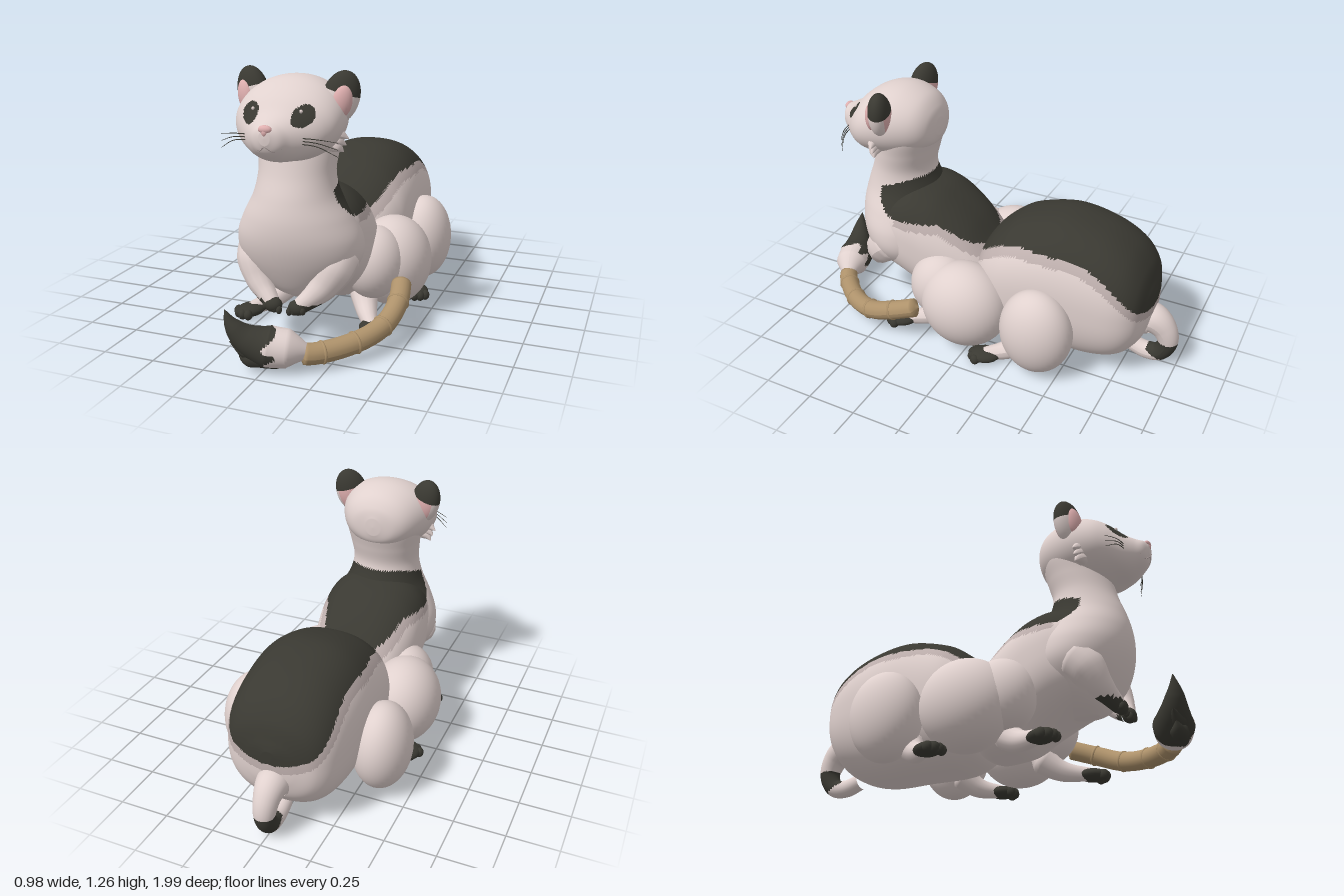
import * as THREE from 'three';

const mat = (name, color) => {
  const m = new THREE.MeshStandardMaterial({ color });
  m.name = name;
  return m;
};

export function createModel() {
  const root = new THREE.Group();
  const pale = mat('pale fur', 0xe0d1ce);
  const dark = mat('dark fur', 0x3a3932);
  const shade = mat('shaded fur', 0xc0b1af);
  const pink = mat('pink skin', 0xe0b0b0);
  const cane = mat('cane brown', 0xae926b);
  const V = (a) => new THREE.Vector3(...a);

  const add = (name, geo, material) => {
    const m = new THREE.Mesh(geo, material);
    m.name = name;
    root.add(m);
    return m;
  };

  // Sort triangles into colour groups by a rule on their centre
  const paint = (name, geo, mats, rule) => {
    const p = geo.attributes.position, src = geo.index.array;
    const lists = mats.map(() => []);
    const a = new THREE.Vector3(), c = new THREE.Vector3();
    for (let i = 0; i < src.length; i += 3) {
      c.set(0, 0, 0);
      for (let k = 0; k < 3; k++) c.add(a.fromBufferAttribute(p, src[i + k]));
      lists[rule(c.divideScalar(3))].push(src[i], src[i + 1], src[i + 2]);
    }
    geo.setIndex(lists.flat());
    geo.clearGroups();
    let start = 0;
    lists.forEach((l, i) => {
      if (l.length) geo.addGroup(start, l.length, i);
      start += l.length;
    });
    return add(name, geo, mats);
  };

  // Smooth loft of superellipse sections [axis position, high, low, half width]
  const loft = (sections, power, vertical, rings, n) => {
    const curve = new THREE.CatmullRomCurve3(sections.map((s) => V(s.slice(0, 3))), false, 'catmullrom');
    const width = new THREE.CatmullRomCurve3(sections.map((s) => V([s[3], 0, 0])), false, 'catmullrom');
    const pos = [], idx = [];
    const sp = (v) => Math.sign(v) * Math.abs(v) ** (2 / power);
    for (let i = 0; i <= rings; i++) {
      const s = curve.getPoint(i / rings);
      const end = i === 0 || i === rings ? 0.01 : 1;
      const rx = Math.max(0.001, width.getPoint(i / rings).x) * end;
      for (let j = 0; j < n; j++) {
        const t = (j / n) * Math.PI * 2;
        const x = rx * sp(Math.cos(t));
        const h = (s.y + s.z) / 2 + ((s.y - s.z) / 2) * end * sp(Math.sin(t));
        pos.push(x, vertical ? s.x : h, vertical ? h : s.x);
        if (i === rings) continue;
        const a = i * n + j, b = i * n + ((j + 1) % n), c = a + n, d = b + n;
        if (vertical) idx.push(a, c, b, b, c, d);
        else idx.push(a, b, c, b, d, c);
      }
    }
    const g = new THREE.BufferGeometry();
    g.setAttribute('position', new THREE.Float32BufferAttribute(pos, 3));
    g.setIndex(idx);
    g.computeVertexNormals();
    return g;
  };

  // Tube along a curve whose radius follows a list
  const taper = (pts, radii, seg = 24, n = 14) => {
    const path = new THREE.CatmullRomCurve3(pts.map(V));
    const g = new THREE.TubeGeometry(path, seg, 1, n);
    const p = g.attributes.position, v = new THREE.Vector3();
    for (let i = 0; i <= seg; i++) {
      const c = path.getPointAt(i / seg);
      const f = (i / seg) * (radii.length - 1), k = Math.min(Math.floor(f), radii.length - 2);
      const r = THREE.MathUtils.lerp(radii[k], radii[k + 1], f - k);
      for (let j = 0; j <= n; j++) {
        const q = i * (n + 1) + j;
        v.fromBufferAttribute(p, q).sub(c).multiplyScalar(r).add(c);
        p.setXYZ(q, v.x, v.y, v.z);
      }
    }
    g.computeVertexNormals();
    return g;
  };

  const ball = (name, at, size, material, seg = 16) => {
    const m = add(name, new THREE.SphereGeometry(1, seg, seg * 0.75), material);
    m.position.set(...at);
    m.scale.set(...size);
    return m;
  };

  // Hindquarters with dark saddle
  const rear = loft([
    [-0.87, 0.42, 0.3, 0.03], [-0.855, 0.47, 0.23, 0.13], [-0.82, 0.56, 0.15, 0.22], [-0.74, 0.65, 0.07, 0.275],
    [-0.6, 0.72, 0.03, 0.3], [-0.4, 0.75, 0.03, 0.31], [-0.2, 0.7, 0.03, 0.305], [-0.1, 0.64, 0.05, 0.28],
    [-0.02, 0.56, 0.1, 0.23], [0.03, 0.46, 0.2, 0.15], [0.05, 0.36, 0.3, 0.02],
  ], 2.4, false, 130, 120);
  paint('hindBody', rear, [pale, dark, shade], (p) => {
    const edge = 0.63 - 1.8 * Math.max(0, Math.abs(p.z + 0.38) - 0.1) ** 2;
    return p.y > edge ? 1 : p.y > edge - 0.045 ? 2 : 0;
  }).position.x = 0.012;

  // Shoulders, chest and neck share one dark cape
  const cape = (p) => {
    const edge = Math.min(0.6, 0.47 + 0.6 * p.z) + 8 * Math.max(0, p.z - 0.46) ** 2;
    const top = 0.78 - Math.max(0, p.z - 0.4) * 0.3;
    if (p.z > 0.56 || p.y > top) return 0;
    return p.y > edge ? 1 : p.y > edge - 0.04 && p.z < 0.45 ? 2 : 0;
  };
  paint('frontBody', loft([
    [-0.08, 0.3, 0.2, 0.02], [-0.04, 0.42, 0.1, 0.15], [0.02, 0.49, 0.06, 0.22], [0.1, 0.58, 0.06, 0.25],
    [0.2, 0.66, 0.08, 0.275], [0.3, 0.715, 0.14, 0.285], [0.42, 0.735, 0.2, 0.285], [0.54, 0.69, 0.25, 0.26],
    [0.62, 0.6, 0.3, 0.2], [0.66, 0.5, 0.42, 0.02],
  ], 2.5, false, 90, 90), [pale, dark, shade], cape);
  paint('neckAndChest', loft([
    [0.2, 0.55, 0.45, 0.02], [0.24, 0.61, 0.36, 0.13], [0.3, 0.655, 0.3, 0.22], [0.4, 0.705, 0.26, 0.29],
    [0.5, 0.735, 0.26, 0.295], [0.6, 0.74, 0.28, 0.255], [0.7, 0.72, 0.33, 0.2], [0.8, 0.685, 0.365, 0.178],
    [0.9, 0.66, 0.345, 0.187], [1.0, 0.64, 0.318, 0.2], [1.08, 0.6, 0.325, 0.18], [1.13, 0.5, 0.4, 0.06],
  ], 2, true, 90, 90), [pale, dark, shade], cape);

  // Head with eyes painted on its surface
  paint('head', loft([
    [0.31, 1.08, 1.0, 0.03], [0.33, 1.14, 0.95, 0.12], [0.38, 1.195, 0.91, 0.18], [0.47, 1.228, 0.88, 0.225],
    [0.56, 1.228, 0.87, 0.245], [0.64, 1.2, 0.87, 0.238], [0.7, 1.16, 0.88, 0.205], [0.76, 1.105, 0.89, 0.145],
    [0.81, 1.075, 0.915, 0.095], [0.845, 1.06, 0.945, 0.062], [0.865, 1.04, 0.985, 0.02],
  ], 2.05, false, 110, 110), [pale, dark], (p) =>
    (p.z > 0.6 && Math.hypot(Math.abs(p.x) - 0.121, p.y - 1.09) < 0.044 ? 1 : 0));
  ball('nose', [0, 1.047, 0.852], [0.031, 0.018, 0.017], pink);
  ball('noseTip', [0, 1.035, 0.857], [0.015, 0.018, 0.012], pink, 12);
  add('mouth', taper([[-0.065, 0.967, 0.832], [-0.03, 0.955, 0.844], [0, 0.975, 0.859], [0.03, 0.955, 0.844],
    [0.065, 0.967, 0.832]], [0.002, 0.004, 0.004, 0.002], 24, 6), shade);

  for (const s of [-1, 1]) {
    // Ears
    const ear = paint('ear', new THREE.SphereGeometry(1, 40, 30), [pale, dark, pink], (p) => {
      if (p.y > 0.22) return 1;
      return p.z < -0.55 && p.y > -0.5 ? 2 : 0;
    });
    ear.position.set(s * 0.207, 1.14, 0.525);
    ear.scale.set(0.082, 0.12, 0.058);
    ear.rotation.set(0, s * 0.35, -s * 0.3);
    const inner = ball('innerEar', [s * 0.226, 1.13, 0.56], [0.046, 0.075, 0.032], pink, 24);
    inner.rotation.set(0, s * 0.45, -s * 0.2);
    ball('eyeGlint', [s * 0.11, 1.108, 0.733], [0.008, 0.008, 0.008], pale, 8);

    // Cheek tufts and whiskers
    [0.925, 0.955, 0.985].forEach((y, i) => {
      add('cheekTuft', taper([[s * 0.15, y + 0.03, 0.58], [s * 0.205, y + 0.01, 0.575],
        [s * (0.235 + i * 0.012), y - 0.015, 0.56]], [0.001, 0.035, 0.025, 0.001], 14, 10), pale);
      add('whisker', taper([[s * 0.1, 0.98 + i * 0.012, 0.775], [s * 0.19, 0.97 + i * 0.015, 0.76],
        [s * 0.27, 0.925 + i * 0.03, 0.725]], [0.0025, 0.002, 0.001], 12, 5), dark);
    });

    // Rounded haunches
    ball('frontHaunch', [s * 0.3, 0.245, 0.025], [0.19, 0.225, 0.23], pale, 40);
    ball('innerHaunch', [s * 0.25, 0.28, 0.18], [0.15, 0.18, 0.17], pale, 32);
    ball('hindHaunch', [s * 0.345, 0.245, -0.385], [0.145, 0.225, 0.185], pale, 40);

    // Raised forearms with dark paws
    paint('arm', taper([[s * 0.2, 0.46, 0.46], [s * 0.19, 0.38, 0.56], [s * 0.15, 0.29, 0.62], [s * 0.06, 0.205, 0.68]],
      [0.001, 0.1, 0.095, 0.07, 0.048, 0.035]), [pale, dark], (p) => (p.y < 0.23 ? 1 : 0));
    ball('forePaw', [s * 0.06, 0.208, 0.682], [0.044, 0.036, 0.034], dark);
    for (let i = 0; i < 4; i++)
      ball('pawToe', [s * (0.025 + i * 0.022), 0.19 + i * 0.004, 0.695], [0.014, 0.02, 0.016], dark, 12);

    // Feet: pale leg, dark foot, four toes
    for (const [from, to, yaw] of [[[0.17, 0.12], [0.315, 0.4], 0.5], [[0.24, -0.34], [0.385, -0.125], 0.35]]) {
      add('lowerLeg', taper([[s * from[0], 0.16, from[1]], [s * (from[0] + to[0]) / 2, 0.055, (from[1] + to[1]) / 2],
        [s * to[0], 0.035, to[1]]], [0.001, 0.07, 0.055, 0.042, 0.032]), pale);
      const foot = ball('foot', [s * to[0], 0.032, to[1]], [0.06, 0.032, 0.08], dark);
      foot.rotation.y = s * yaw;
      for (let i = 0; i < 4; i++) {
        const a = yaw + (i - 1.5) * 0.5;
        ball('toe', [s * (to[0] + Math.sin(a) * 0.06), 0.026, to[1] + Math.cos(a) * 0.062], [0.022, 0.026, 0.025], dark, 12);
      }
    }
  }

  // Short curled tail
  paint('tail', taper([[0, 0.22, -0.78], [0, 0.25, -0.86], [0, 0.21, -0.92], [0, 0.13, -0.948], [0, 0.058, -0.91],
    [0, 0.045, -0.84], [0, 0.07, -0.75]], [0.08, 0.08, 0.062, 0.05, 0.046, 0.044, 0.04], 60, 24),
  [pale, dark], (p) => (p.z < -0.85 && p.y < 0.14 && p.y > 0.07 + (p.z + 0.85) * 0.5 ? 1 : 0));

  // Jointed cane with raised rings
  const canePts = [[0.41, 0.22, 0.235], [0.435, 0.17, 0.38], [0.415, 0.115, 0.52], [0.34, 0.085, 0.67], [0.2, 0.072, 0.82],
    [0.14, 0.08, 0.86]];
  add('cane', taper(canePts, [0.001, ...Array(30).fill(0.048), 0.001], 62, 20), cane);
  const path = new THREE.CatmullRomCurve3(canePts.map(V));
  for (const t of [0.2, 0.42, 0.65, 0.86]) {
    const ring = add('caneRing', new THREE.TorusGeometry(0.045, 0.008, 8, 28), cane);
    ring.position.copy(path.getPointAt(t));
    ring.quaternion.setFromUnitVectors(new THREE.Vector3(0, 0, 1), path.getTangentAt(t));
  }

  // Brush tuft on the cane, pale base and dark ragged tip
  paint('brush', taper([[0.175, 0.085, 0.84], [0.1, 0.1, 0.87], [0, 0.11, 0.9], [-0.08, 0.15, 0.93], [-0.13, 0.21, 0.95],
    [-0.16, 0.275, 0.955]], [0.03, 0.085, 0.093, 0.068, 0.04, 0.002], 60, 36),
  [pale, dark], (p) => (p.x < 0.05 + 0.03 * Math.sin(p.y * 75 + p.z * 40) ? 1 : 0));
  for (const [y, x] of [[0.06, -0.11], [0.1, -0.15]])
    add('brushSpike', taper([[0, y + 0.01, 0.92], [-0.07, y, 0.935], [x, y + 0.025, 0.94]], [0.05, 0.04, 0.001], 14, 10), dark);

  return root;
}
